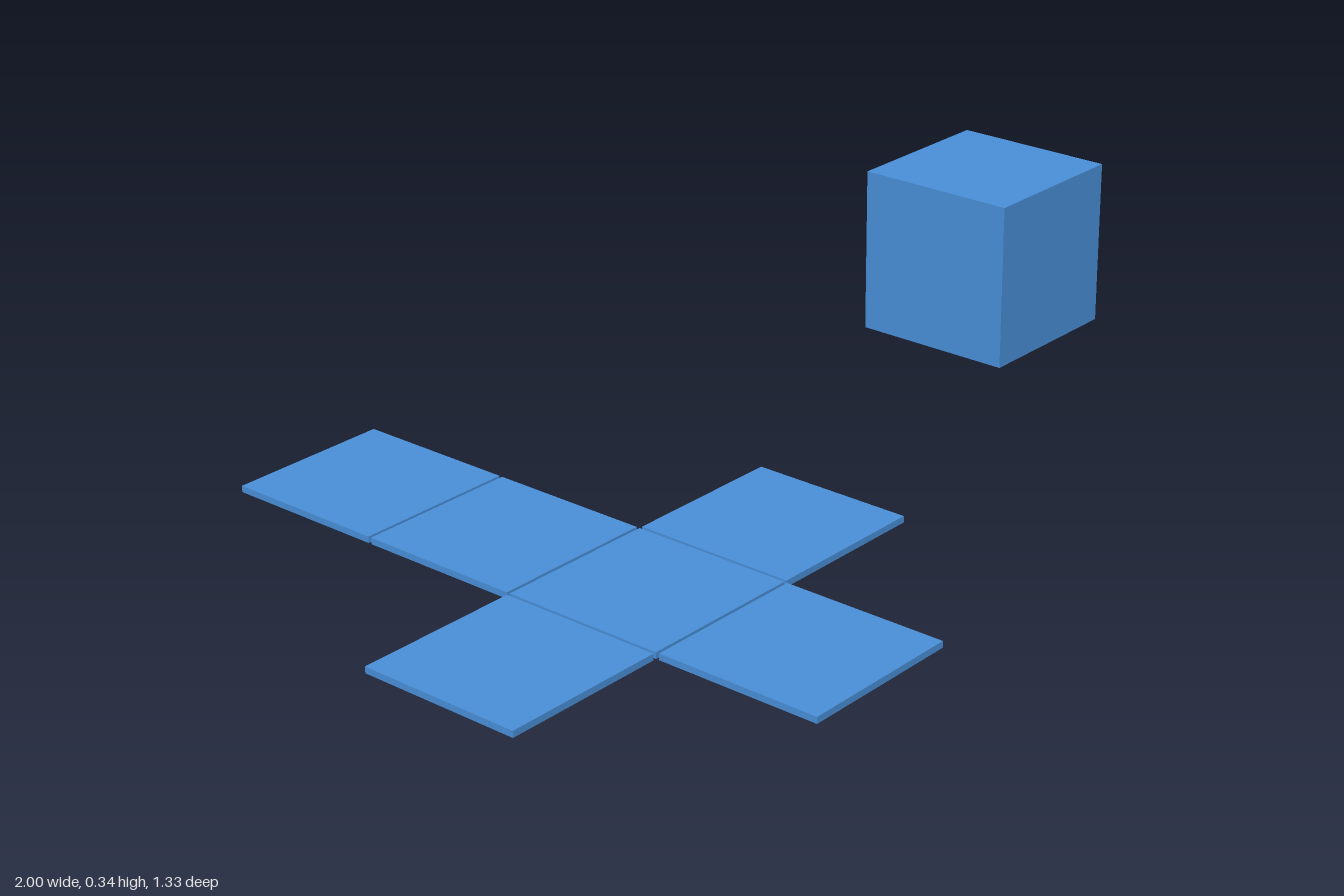
import * as THREE from 'three';

const SIDE = 0.328;   // edge of one flat panel
const PITCH = 0.3345; // panel edge plus the gap
const THICK = 0.0125;

export function createModel() {
  const model = new THREE.Group();
  const blue = new THREE.MeshStandardMaterial({ color: 0x4a90d9 });

  // Unfolded cube: six thin panels laid out as a cross
  const net = new THREE.Group();
  net.name = 'unfoldedNet';
  const panelGeometry = new THREE.BoxGeometry(SIDE, THICK, SIDE);
  const panels = {
    basePanel: [0, 0], leftPanel: [1, 0], rightPanel: [-1, 0],
    frontPanel: [0, 1], backPanel: [0, -1], lidPanel: [0, -2],
  };
  for (const [name, [column, row]] of Object.entries(panels)) {
    const panel = new THREE.Mesh(panelGeometry, blue);
    panel.name = name;
    panel.position.set(column * PITCH, THICK / 2, row * PITCH);
    net.add(panel);
  }
  net.position.set(-0.5015, 0, PITCH / 2);
  model.add(net);

  // Folded cube, resting at mid-panel height
  const cube = new THREE.Mesh(new THREE.BoxGeometry(0.335, 0.335, 0.335), blue);
  cube.name = 'foldedCube';
  cube.position.set(0.8325, THICK / 2 + 0.335 / 2, -0.108);
  model.add(cube);

  return model;
}
